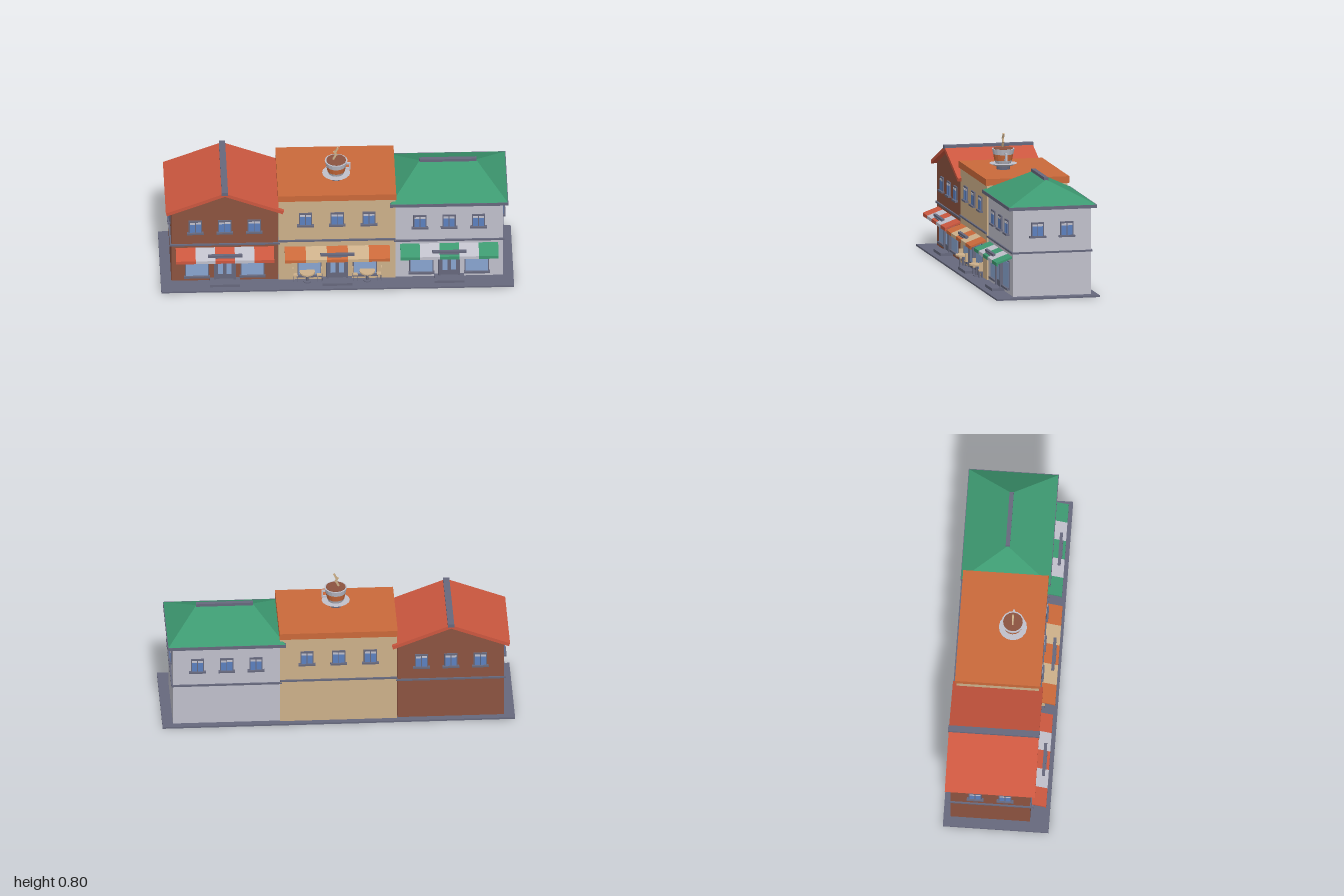
import * as THREE from 'three';
import { ConvexGeometry } from 'three/addons/geometries/ConvexGeometry.js';

export function createModel() {
  const root = new THREE.Group();
  root.name = 'shopRow';
  const mat = (name, color) => {
    const m = new THREE.MeshStandardMaterial({ color });
    m.name = name;
    return m;
  };
  const brown = mat('brown', 0x8c5340), tan = mat('tan', 0xcdb08a), pale = mat('paleGrey', 0xc0c0cb);
  const red = mat('red', 0xcb573f), orange = mat('orange', 0xca693a), green = mat('green', 0x3d9971);
  const slate = mat('slate', 0x66687d), glass = mat('glass', 0x5c80be), shopGlass = mat('shopGlass', 0x88a4d0);

  const mesh = (parent, name, geo, m, x = 0, y = 0, z = 0) => {
    const o = new THREE.Mesh(geo, m);
    o.name = name;
    o.position.set(x, y, z);
    parent.add(o);
    return o;
  };
  // box given by its centre in x and z and by its bottom and top
  const box = (parent, name, m, x, w, y0, y1, z0, z1) =>
    mesh(parent, name, new THREE.BoxGeometry(w, y1 - y0, z1 - z0), m, x, (y0 + y1) / 2, (z0 + z1) / 2);
  const group = (parent, name, x = 0, y = 0, z = 0, ry = 0) => {
    const g = new THREE.Group();
    g.name = name;
    g.position.set(x, y, z);
    g.rotation.y = ry;
    parent.add(g);
    return g;
  };
  const extrude = (points, depth) => new THREE.ExtrudeGeometry(
    new THREE.Shape(points.map(p => new THREE.Vector2(...p))), { depth, bevelEnabled: false });

  const MID = -0.035; // depth centre of the buildings
  box(root, 'pavement', slate, 0, 2, 0, 0.01, -0.3, 0.3);

  // upper window facing +z, standing on its sill
  function upperWindow(parent, x, y, z, ry) {
    const g = group(parent, 'upperWindow', x, y, z, ry);
    box(g, 'windowFrame', slate, 0, 0.075, 0, 0.088, -0.003, 0.008);
    box(g, 'windowSill', slate, 0, 0.095, 0, 0.01, -0.003, 0.019);
    for (const s of [-1, 1]) {
      box(g, 'windowPane', glass, s * 0.017, 0.029, 0.011, 0.066, 0.004, 0.01);
      box(g, 'windowBlind', pale, s * 0.017, 0.029, 0.066, 0.078, 0.004, 0.01);
    }
  }

  // ground floor: double door with step, two display windows, striped awning and sign
  function shopFront(parent, cx, z, awningWidth, color, stripe) {
    const g = group(parent, 'shopFront', cx, 0, z);
    box(g, 'doorStep', slate, 0, 0.17, 0.01, 0.026, -0.003, 0.072);
    box(g, 'doorFrame', slate, 0, 0.122, 0.026, 0.205, -0.003, 0.012);
    for (const s of [-1, 1]) {
      box(g, 'doorPost', slate, s * 0.056, 0.012, 0.026, 0.205, 0, 0.02);
      box(g, 'doorGlass', shopGlass, s * 0.024, 0.03, 0.06, 0.175, 0.008, 0.014);
      const x = s * 0.157;
      box(g, 'displayFrame', slate, x, 0.138, 0.04, 0.2, -0.003, 0.006);
      box(g, 'displayGlass', shopGlass, x, 0.126, 0.048, 0.194, 0.002, 0.009);
      box(g, 'displaySill', slate, x, 0.148, 0.034, 0.046, -0.003, 0.018);
    }
    const profile = [[0, 0.225], [0.083, 0.194], [0.083, 0.184], [0.09, 0.184], [0.09, 0.203], [0, 0.236]];
    const w = awningWidth / 5;
    for (let i = 0; i < 5; i++) {
      const geo = extrude(profile, w);
      geo.rotateY(-Math.PI / 2);
      mesh(g, 'awningStripe', geo, i % 2 ? stripe : color, -awningWidth / 2 + (i + 1) * w);
    }
    box(g, 'signBoard', slate, 0, 0.195, 0.212, 0.225, 0.053, 0.07);
    box(g, 'signFoot', slate, 0, 0.11, 0.205, 0.214, 0.055, 0.075);
  }

  // bands, windows and shop front shared by all three houses
  function dressHouse(g, o) {
    box(g, 'stringCourse', slate, o.cx, o.width + 0.018, o.band, o.band + 0.01, MID - o.half - 0.009, MID + o.half + 0.009);
    for (const s of [-1, 0, 1]) {
      const x = o.cx + s * o.spacing;
      upperWindow(g, x, o.windowY, MID + o.half, 0);
      upperWindow(g, x, o.windowY, MID - o.half, Math.PI);
    }
    if (o.side) for (const z of [0.05, -0.12])
      upperWindow(g, o.cx + o.side * o.width / 2, o.windowY, z, o.side * Math.PI / 2);
    shopFront(g, o.cx, MID + o.half, o.awning, o.color, o.stripe);
  }

  // gabled brick house
  const brick = group(root, 'gabledHouse');
  const gx = -0.637;
  mesh(brick, 'gabledWalls', extrude([[-0.303, 0.01], [0.303, 0.01], [0.303, 0.492], [0, 0.608], [-0.303, 0.492]], 0.452),
    brown, gx, 0, MID - 0.226);
  mesh(brick, 'gableRoof', extrude([[-0.335, 0.495], [-0.328, 0.476], [0, 0.603], [0.328, 0.476], [0.335, 0.495], [0, 0.625]], 0.512),
    red, gx, 0, MID - 0.256);
  box(brick, 'ridgeCap', slate, gx, 0.036, 0.612, 0.632, MID - 0.26, MID + 0.26);
  dressHouse(brick, { cx: gx, width: 0.606, half: 0.226, band: 0.253, spacing: 0.167, windowY: 0.335,
    side: -1, awning: 0.556, color: red, stripe: pale });

  // flat-roofed cafe
  const cafe = group(root, 'cafe');
  box(cafe, 'cafeWalls', tan, 0, 0.664, 0.01, 0.555, MID - 0.234, MID + 0.234);
  box(cafe, 'flatRoof', orange, 0, 0.67, 0.552, 0.59, MID - 0.243, MID + 0.243);
  dressHouse(cafe, { cx: 0, width: 0.645, half: 0.234, band: 0.273, spacing: 0.18, windowY: 0.38,
    side: 0, awning: 0.596, color: orange, stripe: tan });

  // pavement tables, each with a chair at either end
  for (const s of [-1, 1]) {
    const set = group(cafe, 'tableSet', s * 0.17, 0, 0.222);
    mesh(set, 'tableTop', new THREE.CylinderGeometry(0.044, 0.044, 0.009, 16), tan, 0, 0.076, 0);
    mesh(set, 'tableLeg', new THREE.CylinderGeometry(0.006, 0.006, 0.062, 8), slate, 0, 0.041, 0);
    mesh(set, 'tableFoot', new THREE.CylinderGeometry(0.022, 0.022, 0.006, 12), slate, 0, 0.013, 0);
    for (const e of [-1, 1]) {
      const chair = group(set, 'chair', e * 0.068, 0, -0.006);
      box(chair, 'chairSeat', tan, 0, 0.028, 0.048, 0.055, -0.012, 0.012);
      box(chair, 'chairBack', tan, e * 0.013, 0.006, 0.05, 0.1, -0.012, 0.012);
      for (const a of [-1, 1]) for (const b of [-1, 1])
        box(chair, 'chairLeg', slate, a * 0.011, 0.004, 0.01, 0.048, b * 0.009 - 0.002, b * 0.009 + 0.002);
    }
  }

  // rooftop coffee cup on its saucer
  const cup = group(cafe, 'rooftopCup', 0, 0, 0.028);
  const ring = (name, m, y0, y1, r0, r1) => {
    const geo = new THREE.CylinderGeometry(r1, r0, y1 - y0, 16).toNonIndexed();
    geo.computeVertexNormals();
    mesh(cup, name, geo, m, 0, (y0 + y1) / 2, 0);
  };
  ring('cupPedestal', slate, 0.588, 0.613, 0.038, 0.038);
  ring('saucer', pale, 0.612, 0.624, 0.055, 0.08);
  ring('cupFoot', pale, 0.622, 0.642, 0.043, 0.051);
  ring('cupBand', orange, 0.642, 0.677, 0.051, 0.058);
  ring('cupRim', pale, 0.677, 0.708, 0.058, 0.065);
  ring('coffee', brown, 0.705, 0.711, 0.056, 0.056);
  box(cup, 'handleTop', pale, 0.068, 0.026, 0.682, 0.691, -0.006, 0.006);
  box(cup, 'handleBottom', pale, 0.066, 0.03, 0.645, 0.654, -0.006, 0.006);
  box(cup, 'handleGrip', pale, 0.077, 0.009, 0.645, 0.691, -0.006, 0.006);
  [[-0.01, 0.73, -0.45], [-0.005, 0.756, 0.5], [0.003, 0.78, -0.45]].forEach(([x, y, tilt]) => {
    mesh(cup, 'steam', new THREE.BoxGeometry(0.01, 0.032, 0.01), tan, x, y, 0).rotation.z = tilt;
  });

  // hip-roofed house
  const hip = group(root, 'hipRoofedHouse');
  const hx = 0.635;
  box(hip, 'paleWalls', pale, hx, 0.61, 0.01, 0.51, MID - 0.226, MID + 0.226);
  box(hip, 'eaves', slate, hx, 0.67, 0.507, 0.526, MID - 0.256, MID + 0.256);
  const points = [];
  for (const a of [-1, 1]) {
    for (const b of [-1, 1]) points.push(new THREE.Vector3(a * 0.333, 0.525, b * 0.255));
    points.push(new THREE.Vector3(a * 0.16, 0.652, 0));
  }
  mesh(hip, 'hipRoof', new ConvexGeometry(points), green, hx, 0, MID);
  box(hip, 'ridgeBeam', slate, hx, 0.324, 0.648, 0.665, MID - 0.012, MID + 0.012);
  dressHouse(hip, { cx: hx, width: 0.61, half: 0.226, band: 0.255, spacing: 0.166, windowY: 0.345,
    side: 1, awning: 0.556, color: green, stripe: pale });

  return root;
}
